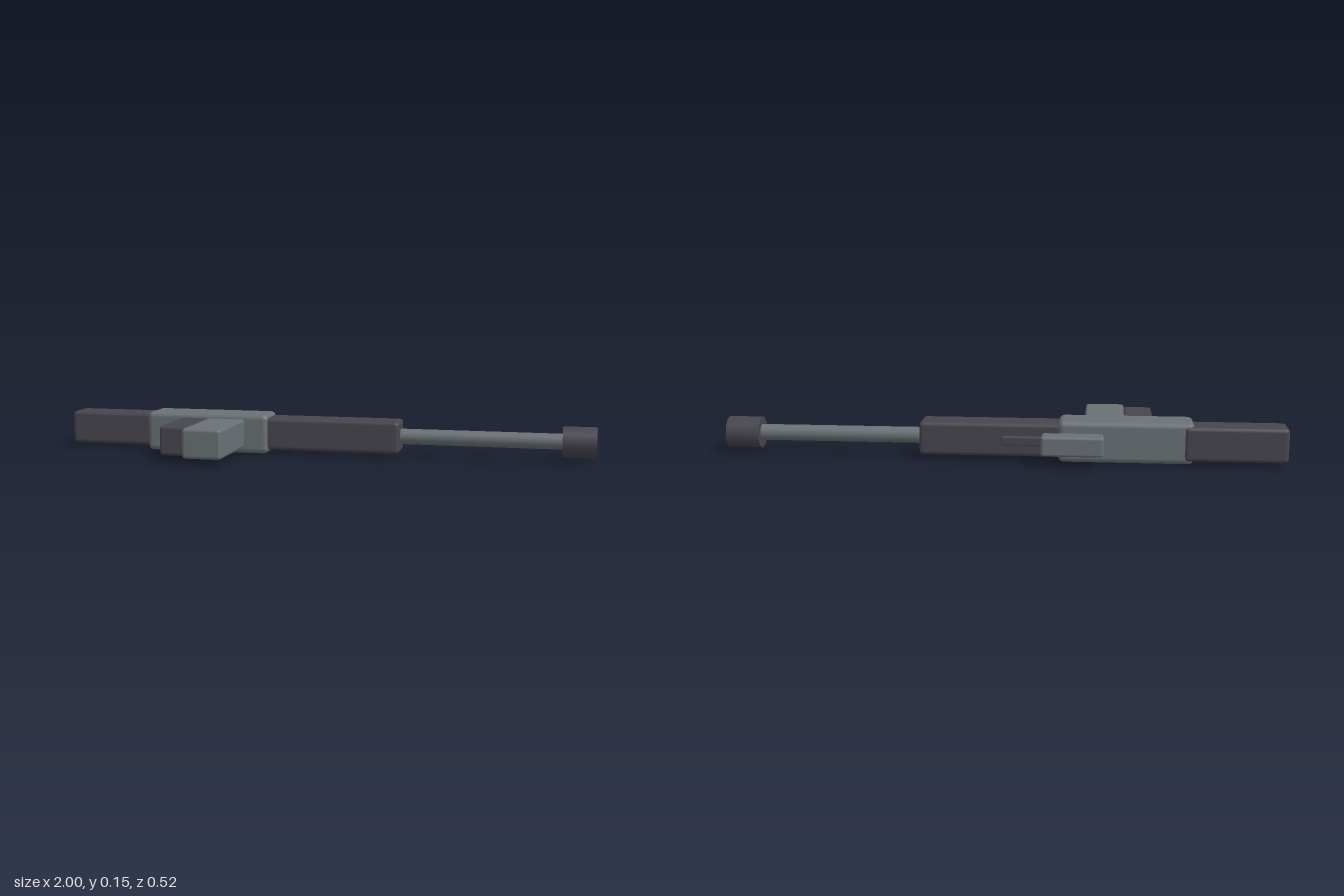
import * as THREE from 'three';
import { RoundedBoxGeometry } from 'three/addons/geometries/RoundedBoxGeometry.js';

// Toy rifle lying on its side: barrel along +x, grip and magazine towards +z
export function createModel() {
  const model = new THREE.Group();
  model.name = 'toyRifle';

  const steelGrey = new THREE.MeshStandardMaterial({ color: 0x6a7175 });
  steelGrey.name = 'steelGrey';
  const darkGrey = new THREE.MeshStandardMaterial({ color: 0x47464f });
  darkGrey.name = 'darkGrey';

  const add = (name, geometry, material) => {
    const mesh = new THREE.Mesh(geometry, material);
    mesh.name = name;
    model.add(mesh);
    return mesh;
  };

  // Bevelled box given by its [min, max] range on each axis
  const block = (name, material, x, y, z, bevel) => {
    const size = [x, y, z].map(([a, b]) => b - a);
    const mid = [x, y, z].map(([a, b]) => (a + b) / 2);
    add(name, new RoundedBoxGeometry(...size, 2, bevel), material).position.set(...mid);
  };

  // Cylinder along x on the barrel axis
  const tube = (name, material, radius, x0, x1) => {
    const geometry = new THREE.CylinderGeometry(radius, radius, x1 - x0, 20);
    geometry.rotateZ(-Math.PI / 2);
    add(name, geometry, material).position.set((x0 + x1) / 2, 0.075, -0.103);
  };

  // Body
  block('stock', darkGrey, [-1, -0.64], [0.013, 0.137], [-0.182, -0.068], 0.015);
  block('receiver', steelGrey, [-0.675, -0.2], [0, 0.148], [-0.176, -0.032], 0.02);
  block('foreEnd', darkGrey, [-0.23, 0.295], [0.015, 0.135], [-0.163, -0.044], 0.015);

  // Barrel
  tube('barrel', steelGrey, 0.029, 0.27, 0.9);
  tube('muzzle', darkGrey, 0.056, 0.88, 1);

  // Handle and ammunition box
  block('grip', darkGrey, [-0.537, -0.43], [0.022, 0.13], [-0.06, 0.209], 0.012);
  block('magazine', steelGrey, [-0.435, -0.29], [0.021, 0.13], [-0.06, 0.259], 0.012);

  // Sights
  block('scope', steelGrey, [-0.36, -0.143], [0.04, 0.111], [-0.259, -0.187], 0.01);
  block('sightRail', darkGrey, [-0.165, 0], [0.06, 0.091], [-0.182, -0.15], 0.004);

  return model;
}
